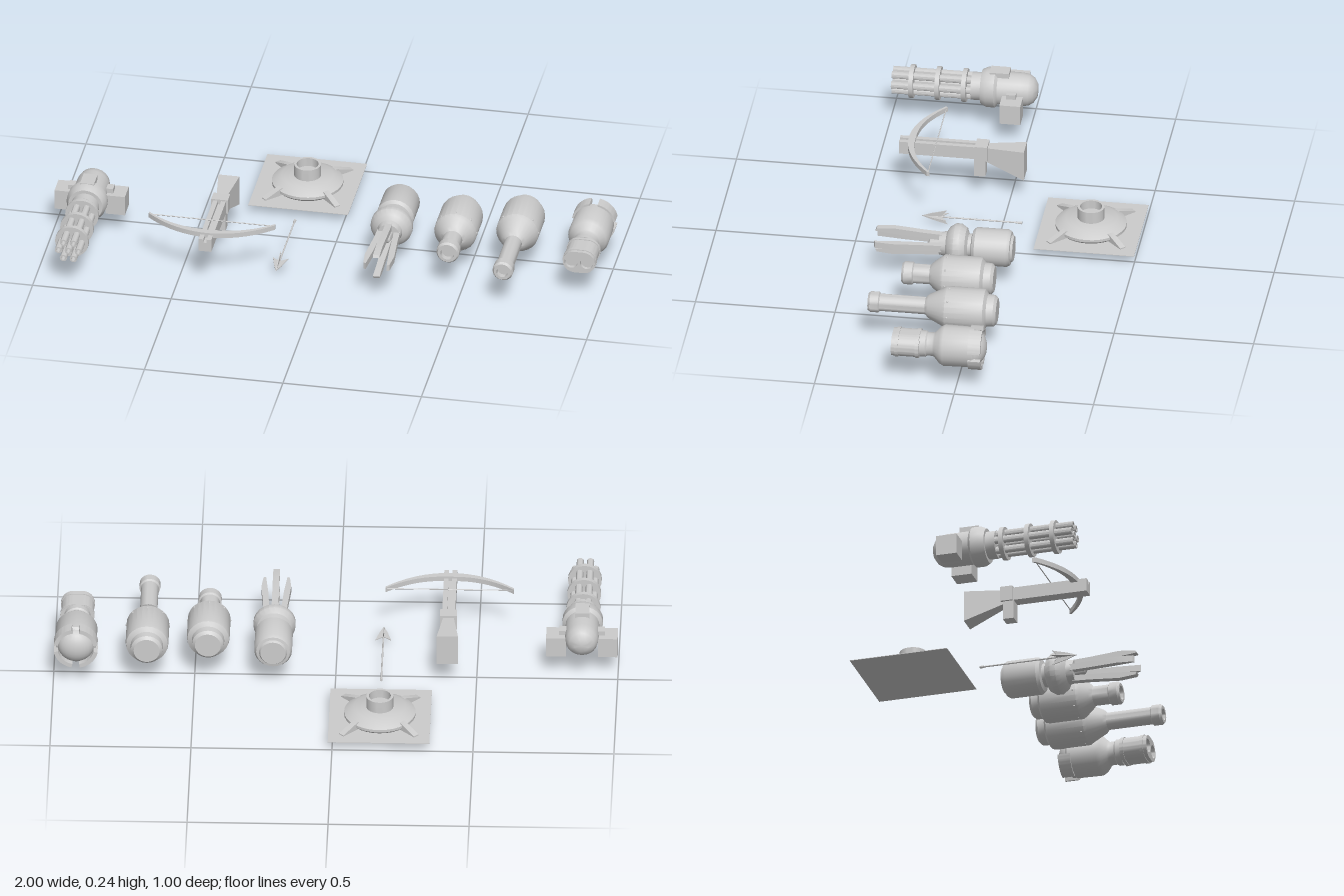
import * as THREE from 'three';
import { toCreasedNormals } from 'three/addons/utils/BufferGeometryUtils.js';

const grey = new THREE.MeshStandardMaterial({ color: 0xcccccc });
const greyTwoSided = new THREE.MeshStandardMaterial({ color: 0xcccccc, side: THREE.DoubleSide });

function add(parent, name, geometry, x = 0, y = 0, z = 0, material = grey) {
  const mesh = new THREE.Mesh(toCreasedNormals(geometry, 0.6), material);
  mesh.name = name;
  mesh.position.set(x, y, z);
  parent.add(mesh);
  return mesh;
}

function group(parent, name, x, y, z) {
  const g = new THREE.Group();
  g.name = name;
  g.position.set(x, y, z);
  parent.add(g);
  return g;
}

const box = (w, h, d) => new THREE.BoxGeometry(w, h, d);

// Round part along z from [radius, z] pairs
const turned = (profile, sides = 24) =>
  new THREE.LatheGeometry(profile.map(([r, z]) => new THREE.Vector2(r, z)), sides).rotateX(Math.PI / 2);

const shape = (points) => new THREE.Shape(points.map(([x, y]) => new THREE.Vector2(x, y)));

const extrude = (s, depth) => new THREE.ExtrudeGeometry(s, { depth, bevelEnabled: false, curveSegments: 12 });

// Plate cut from an (x, z) outline, lying flat and centred on y = 0
const flatPlate = (points, thickness) =>
  extrude(shape(points), thickness).rotateX(Math.PI / 2).translate(0, thickness / 2, 0);

// Box whose ends have their own width, bottom and top: [z, width, bottom, top]
function taperedBeam(back, front) {
  const g = box(1, 1, 1);
  const p = g.attributes.position;
  for (let i = 0; i < p.count; i++) {
    const [z, w, bottom, top] = p.getZ(i) < 0 ? back : front;
    p.setXYZ(i, p.getX(i) * w, p.getY(i) < 0 ? bottom : top, z);
  }
  g.computeVertexNormals();
  return g;
}

function buildRotaryGun(root) {
  const g = group(root, 'rotaryGun', -0.872, 0.153, 0);
  add(g, 'gunBody', turned([[0, -0.028], [0.025, -0.024], [0.045, -0.012], [0.056, 0.005], [0.06, 0.03],
    [0.06, 0.115], [0.072, 0.125], [0.072, 0.155], [0.062, 0.175], [0, 0.175]]));
  add(g, 'barrelHub', turned([[0.05, 0.17], [0.05, 0.21], [0, 0.21]]));
  add(g, 'topHousing', box(0.05, 0.03, 0.07), 0, 0.058, 0.11);
  // Barrel cluster
  for (let i = 0; i < 7; i++) {
    const a = i * Math.PI / 3, r = i < 6 ? 0.036 : 0;
    add(g, 'barrel', turned([[0, 0.17], [0.013, 0.17], [0.013, 0.495], [0.008, 0.495], [0.008, 0.47], [0, 0.47]], 12),
      Math.cos(a) * r, Math.sin(a) * r, 0);
  }
  for (const z of [0.235, 0.33, 0.424])
    add(g, 'barrelBand', turned([[0, -0.008], [0.06, -0.008], [0.06, 0.008], [0, 0.008]]), 0, 0, z);
  // Side ammunition boxes
  for (const s of [-1, 1]) {
    add(g, 'ammoBox', box(0.07, 0.075, 0.075), s * 0.092, -0.035, 0.057);
    add(g, 'ammoLug', box(0.036, 0.04, 0.034), s * 0.063, 0, 0.06);
  }
}

function buildCrossbow(root) {
  const g = group(root, 'crossbow', -0.397, 0, 0);
  add(g, 'stock', taperedBeam([-0.05, 0.076, 0.085, 0.2], [0.09, 0.036, 0.14, 0.195]));
  add(g, 'triggerBlock', box(0.06, 0.055, 0.045), 0, 0.176, 0.105);
  add(g, 'grip', box(0.045, 0.08, 0.04), 0, 0.12, 0.11);
  // Rail with a bolt groove
  add(g, 'rail', box(0.046, 0.035, 0.3), 0, 0.167, 0.25);
  for (const s of [-1, 1]) add(g, 'railEdge', box(0.017, 0.014, 0.28), s * 0.0145, 0.191, 0.26);
  // Curved limbs, thinning toward the tips
  const outer = [], inner = [];
  for (let i = -10; i <= 10; i++) {
    const t = i / 10, x = t * 0.228, z = 0.355 - 0.09 * Math.abs(t) ** 2.2, h = 0.013 - 0.008 * Math.abs(t);
    outer.push([x, z + h]);
    inner.unshift([x, z - h]);
  }
  add(g, 'bowLimbs', flatPlate([...outer, ...inner], 0.018), 0, 0.197, 0);
  add(g, 'bowString', new THREE.CylinderGeometry(0.002, 0.002, 0.45, 6).rotateZ(Math.PI / 2), 0, 0.2, 0.266);
}

function buildArrow(root) {
  const g = group(root, 'arrow', -0.163, 0.028, 0);
  add(g, 'arrowShaft', turned([[0, -0.07], [0.003, -0.07], [0.003, 0.24], [0, 0.24]], 8));
  add(g, 'arrowNock', turned([[0, -0.073], [0.005, -0.073], [0.005, -0.058], [0, -0.058]], 8));
  // Crossed barbed blades
  const outline = [[0, 0.285], [0.013, 0.25], [0.028, 0.195], [0.004, 0.215],
    [-0.004, 0.215], [-0.028, 0.195], [-0.013, 0.25]];
  for (const a of [0, Math.PI / 2]) add(g, 'arrowBlade', flatPlate(outline, 0.003).rotateZ(a));
}

function buildFloorTrap(root) {
  const g = group(root, 'floorTrap', -0.165, 0.03, -0.32);
  add(g, 'basePlate', box(0.36, 0.002, 0.36), 0, 0.001, 0);
  const up = (p) => turned(p, 32).rotateX(-Math.PI / 2);
  add(g, 'trapDisc', up([[0.115, 0.001], [0.127, 0.012], [0.127, 0.022], [0.092, 0.043], [0, 0.043]]));
  add(g, 'trapCup', up([[0.048, 0.04], [0.048, 0.087], [0.039, 0.087], [0.039, 0.055], [0, 0.055]]));
  // Diagonal feet sloping down to the plate
  const foot = [[0.09, 0], [0.188, 0], [0.188, 0.006], [0.12, 0.03], [0.09, 0.03]];
  for (let i = 0; i < 4; i++)
    add(g, 'foot', extrude(shape(foot), 0.022).translate(0, 0, -0.011).rotateY(Math.PI / 4 + i * Math.PI / 2));
}

function buildProngLauncher(root) {
  const g = group(root, 'prongLauncher', 0.22, 0.15, 0);
  add(g, 'launcherBody', turned([[0, -0.1], [0.045, -0.1], [0.05, -0.092], [0.06, -0.09], [0.067, -0.078],
    [0.067, 0.035], [0.058, 0.046], [0.042, 0.05], [0.042, 0.062], [0.062, 0.07], [0.075, 0.09], [0.075, 0.11],
    [0.062, 0.13], [0.045, 0.14], [0.04, 0.165], [0, 0.165]]));
  add(g, 'emitter', turned([[0.018, 0.16], [0.014, 0.2], [0, 0.21]], 12));
  // Four tapering prongs around the emitter
  const prong = [[0.018, 0.14], [0.04, 0.14], [0.044, 0.22], [0.053, 0.33], [0.047, 0.39], [0.038, 0.395], [0.028, 0.3]];
  for (let i = 0; i < 4; i++)
    add(g, 'prong', flatPlate(prong, 0.024).rotateZ(i * Math.PI / 2));
}

// Bottle-shaped launcher: shared build, with its own lengths
function buildBottle(root, name, x, back, shoulder, neckStart, end, neckRadius) {
  const g = group(root, name, x, 0.157, 0);
  const n = neckRadius, lip = n + 0.006;
  add(g, 'bottleBody', turned([[0, back], [0.046, back], [0.056, back + 0.01], [0.058, back + 0.035],
    [0.074, back + 0.045], [0.076, back + 0.055], [0.076, shoulder], [0.068, shoulder + 0.012],
    [n + 0.012, neckStart - 0.012], [n, neckStart], [n, end - 0.042], [lip, end - 0.038],
    [lip, end - 0.008], [lip - 0.006, end], [n - 0.01, end], [n - 0.01, end - 0.02], [0, end - 0.02]]));
  for (let i = 0; i < 8; i++) {
    const a = i * Math.PI / 4;
    add(g, 'stud', new THREE.SphereGeometry(0.004, 8, 6), Math.cos(a) * 0.075, Math.sin(a) * 0.075, shoulder - 0.01);
  }
}

function buildTwinCannon(root) {
  const g = group(root, 'twinCannon', 0.92, 0.152, 0);
  add(g, 'cannonBody', turned([[0.062, -0.07], [0.072, -0.06], [0.074, 0.045], [0.066, 0.06], [0.046, 0.078],
    [0.042, 0.085], [0.042, 0.105], [0.047, 0.11], [0.047, 0.13], [0, 0.13]]));
  add(g, 'rearDome', new THREE.SphereGeometry(0.066, 24, 14).scale(1, 1, 0.75), 0, 0, -0.057);
  // Claw segments gripping the dome
  const claw = new THREE.Shape();
  claw.absarc(0, 0, 0.079, -0.6, 0.6, false);
  claw.absarc(0, 0, 0.064, 0.6, -0.6, true);
  for (let i = 0; i < 4; i++)
    add(g, 'rearClaw', extrude(claw, 0.045).translate(0, 0, -0.092).rotateZ(Math.PI / 4 + i * Math.PI / 2));
  // Oval muzzle with two bores
  const oval = (a, r) => {
    const s = new THREE.Shape();
    s.absarc(a, 0, r, -Math.PI / 2, Math.PI / 2, false);
    s.absarc(-a, 0, r, Math.PI / 2, Math.PI * 1.5, false);
    return s;
  };
  const muzzle = oval(0.016, 0.042);
  for (const s of [-1, 1]) {
    const bore = new THREE.Path();
    bore.absarc(s * 0.028, 0, 0.024, 0, Math.PI * 2, true);
    muzzle.holes.push(bore);
  }
  add(g, 'muzzle', extrude(muzzle, 0.1), 0, 0, 0.13, greyTwoSided);
  add(g, 'muzzleFloor', extrude(oval(0.016, 0.04), 0.05), 0, 0, 0.13);
  for (const z of [0.132, 0.205]) add(g, 'muzzleBand', extrude(oval(0.016, 0.045), 0.012), 0, 0, z);
}

export function createModel() {
  const root = new THREE.Group();
  root.name = 'weaponSet';
  buildRotaryGun(root);
  buildCrossbow(root);
  buildArrow(root);
  buildFloorTrap(root);
  buildProngLauncher(root);
  buildBottle(root, 'shortBottleLauncher', 0.452, -0.065, 0.115, 0.165, 0.265, 0.035);
  buildBottle(root, 'longBottleLauncher', 0.668, -0.107, 0.075, 0.15, 0.355, 0.031);
  buildTwinCannon(root);
  return root;
}
